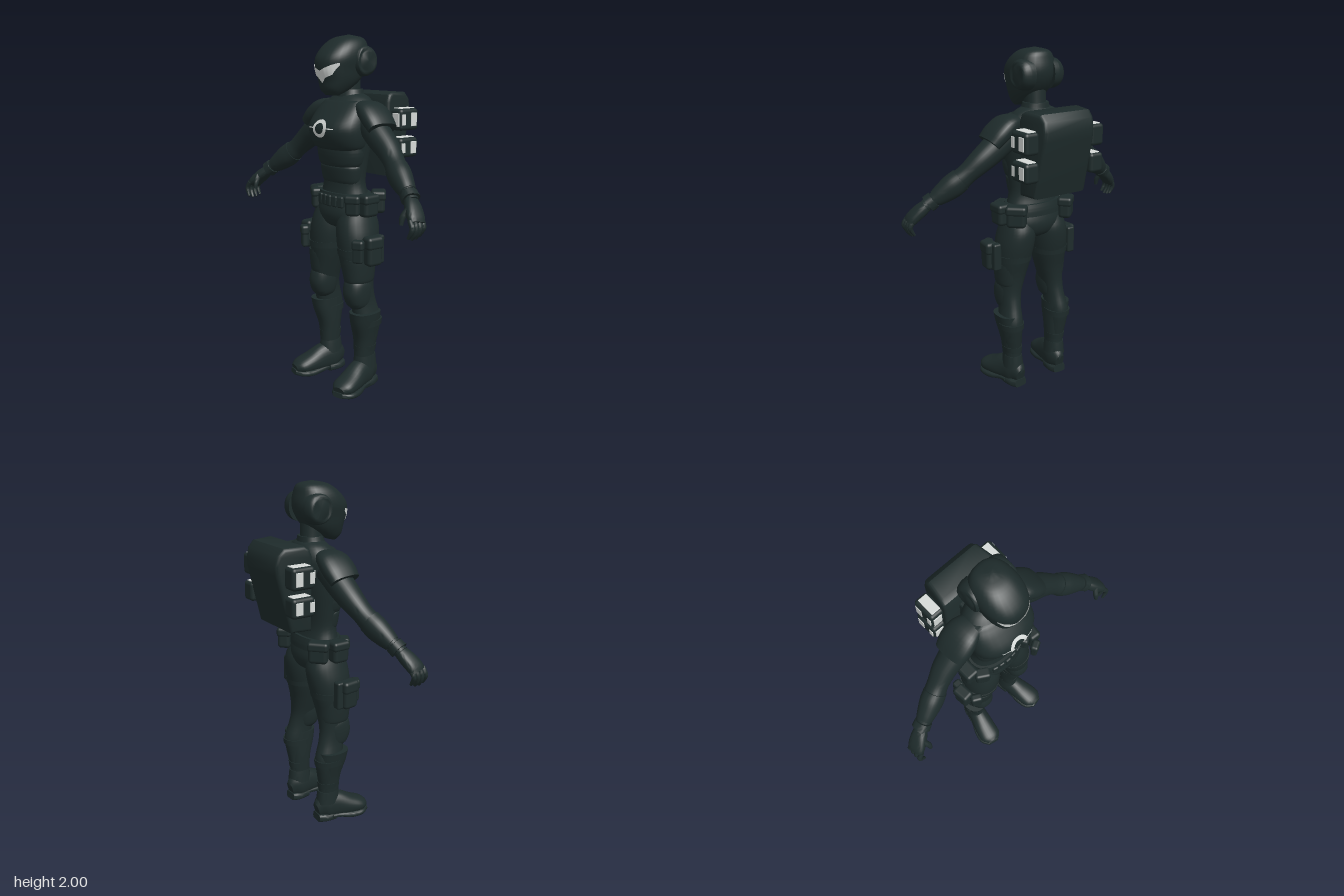
import * as THREE from 'three';
import { toCreasedNormals } from 'three/addons/utils/BufferGeometryUtils.js';
import { RoundedBoxGeometry } from 'three/addons/geometries/RoundedBoxGeometry.js';

const armour = new THREE.MeshStandardMaterial({ color: 0x1e2b2b });
armour.name = 'dark armour';
const light = new THREE.MeshStandardMaterial({ color: 0xd6dad8, side: THREE.DoubleSide });
light.name = 'pale light panel';

const V = (x, y, z) => new THREE.Vector3(x, y, z);
const UP = V(0, 1, 0), FRONT = V(0, 0, 1);

// Skin through cross-sections [x, y, z, radiusA, radiusB]; pow squares the ring off.
// With a fixed dir, the sections must be listed along it.
function loft(secs, { dir = null, ref = FRONT, pow = 2.2, seg = 28, sub = 4, s = 1 } = {}) {
  const path = new THREE.CatmullRomCurve3(secs.map(p => V(p[0] * s, p[1], p[2])), false, 'catmullrom');
  const radii = new THREE.CatmullRomCurve3(secs.map(p => V(p[3], p[4], 0)), false, 'catmullrom');
  const n = (secs.length - 1) * sub, pos = [], idx = [];
  const round = c => Math.sign(c) * Math.abs(c) ** (2 / pow);
  for (let i = 0; i <= n; i++) {
    const c = path.getPoint(i / n), r = radii.getPoint(i / n);
    const t = dir || path.getTangent(i / n);
    const u = t.clone().cross(ref).normalize(), v = u.clone().cross(t).normalize();
    for (let j = 0; j < seg; j++) {
      const a = (j / seg) * Math.PI * 2;
      const p = c.clone().addScaledVector(u, round(Math.cos(a)) * r.x).addScaledVector(v, round(Math.sin(a)) * r.y);
      pos.push(p.x, p.y, p.z);
    }
  }
  for (const t of [0, 1]) pos.push(...path.getPoint(t).toArray());
  const start = (n + 1) * seg;
  for (let j = 0; j < seg; j++) {
    const k = (j + 1) % seg;
    for (let i = 0; i < n; i++) {
      const a = i * seg + j, b = i * seg + k;
      idx.push(a, a + seg, b, b, a + seg, b + seg);
    }
    idx.push(start, j, k, start + 1, n * seg + k, n * seg + j);
  }
  const g = new THREE.BufferGeometry();
  g.setAttribute('position', new THREE.Float32BufferAttribute(pos, 3));
  g.setIndex(idx);
  return toCreasedNormals(g, 0.8);
}

// Thin patch laid on the front of a mesh; f(u, v) gives [x, y].
function conform(target, f, nu, nv, lift = 0.005) {
  const g = new THREE.PlaneGeometry(1, 1, nu, nv), p = g.attributes.position, ray = new THREE.Raycaster();
  for (let i = 0; i < p.count; i++) {
    const [x, y] = f(p.getX(i) + 0.5, p.getY(i) + 0.5);
    ray.set(V(x, y, 3), V(0, 0, -1));
    p.setXYZ(i, x, y, ray.intersectObject(target)[0].point.z + lift);
  }
  g.computeVertexNormals();
  return g;
}

export function createModel() {
  const model = new THREE.Group();
  const add = (name, geo, mat = armour, x = 0, y = 0, z = 0, ry = 0) => {
    const m = new THREE.Mesh(geo, mat);
    m.name = name;
    m.position.set(x, y, z);
    m.rotation.y = ry;
    model.add(m);
    return m;
  };
  const box = (name, x, y, z, w, h, d, ry = 0, mat = armour, r = 0.012) =>
    add(name, new RoundedBoxGeometry(w, h, d, 3, Math.min(r, w / 3, h / 3, d / 3)), mat, x, y, z, ry);
  const upright = { dir: UP };

  // Helmet, visor and neck
  const helmet = add('helmet', loft([
    [0, 1.68, .155, .05, .02], [0, 1.71, .135, .074, .075], [0, 1.76, .105, .098, .115], [0, 1.82, .092, .11, .146],
    [0, 1.88, .082, .12, .152], [0, 1.94, .062, .11, .122], [0, 1.983, .04, .075, .08], [0, 2, .035, .01, .01]], { dir: UP, pow: 2.4 }));
  const lower = a => a < .03 ? 1.745 + a : a < .07 ? 1.775 + (a - .03) * .4 : 1.791 + (a - .07) * 1.7;
  add('visor', conform(helmet, (u, v) => {
    const x = (u - .5) * .2, a = Math.abs(x), top = 1.812 + a * .42;
    return [x, lower(a) + (top - lower(a)) * v];
  }, 40, 6), light);
  add('neck', loft([[0, 1.6, .03, .075, .075], [0, 1.68, .03, .06, .062], [0, 1.8, .04, .06, .066]], upright));
  add('collar', loft([[0, 1.62, .03, .11, .09], [0, 1.67, .028, .085, .075], [0, 1.71, .025, .072, .066]], upright));

  // Torso with chest and belly armour
  add('torso', loft([
    [0, .935, .06, .05, .06], [0, .965, .064, .15, .105], [0, 1.03, .065, .185, .124], [0, 1.12, .065, .162, .102],
    [0, 1.2, .068, .143, .088], [0, 1.3, .065, .153, .095], [0, 1.42, .065, .172, .122], [0, 1.52, .065, .183, .142],
    [0, 1.6, .045, .178, .125], [0, 1.66, .025, .13, .088], [0, 1.69, .025, .07, .06]], upright));
  const chest = add('chestPlate', loft([
    [0, 1.385, .1, .15, .085], [0, 1.405, .1, .172, .113], [0, 1.46, .105, .186, .136], [0, 1.52, .105, .188, .137],
    [0, 1.6, .08, .176, .098], [0, 1.65, .06, .148, .065]], { dir: UP, pow: 2.3 }));
  add('upperBellyPlate', loft([[0, 1.29, .09, .14, .08], [0, 1.31, .09, .155, .09], [0, 1.36, .09, .166, .098], [0, 1.395, .09, .165, .098]], upright));
  add('lowerBellyPlate', loft([[0, 1.2, .085, .135, .07], [0, 1.22, .085, .142, .078], [0, 1.285, .087, .15, .085], [0, 1.3, .087, .143, .08]], upright));

  // Ring lamp with a short bar at each side
  add('chestLamp', conform(chest, (u, v) => {
    const a = u * Math.PI * 2, r = .034 + v * .022;
    return [Math.cos(a) * r, 1.505 + Math.sin(a) * r * .87];
  }, 36, 2), light);
  for (const s of [1, -1])
    add('chestLampBar', conform(chest, (u, v) => [s * (.055 + u * .047), 1.504 + v * .006], 6, 1), light);

  // Belt with small front cases
  add('belt', loft([[0, 1.075, .065, .18, .122], [0, 1.11, .065, .176, .12], [0, 1.145, .065, .168, .112]], { dir: UP, pow: 2.3 }));
  for (let i = -2; i <= 2; i++) box('beltCase', i * .042, 1.1, .178 - Math.abs(i) * .006, .038, .065, .03, i * .12);

  // Backpack, cut from its side profile and narrowed towards the back
  const side = new THREE.Shape([[-.085, 1.23], [-.205, 1.23], [-.288, 1.55], [-.292, 1.6], [-.28, 1.655], [-.245, 1.69], [-.13, 1.695], [-.1, 1.68], [-.085, 1.64]]
    .map(p => new THREE.Vector2(...p)));
  const packGeo = new THREE.ExtrudeGeometry(side, { depth: .33, bevelSize: .02, bevelOffset: -.02, bevelThickness: .025, bevelSegments: 3 });
  packGeo.translate(0, 0, -.165).rotateY(-Math.PI / 2);
  const pp = packGeo.attributes.position;
  for (let i = 0; i < pp.count; i++) pp.setX(i, pp.getX(i) * (1 + (pp.getZ(i) + .085) * .75));
  add('backpack', toCreasedNormals(packGeo, .7));
  box('backpackMount', 0, 1.5, -.075, .2, .2, .05);

  for (const s of [1, -1]) {
    const limb = (name, secs, opt = {}) => add(name, loft(secs, { s, ...opt }));

    // Ear cap, blended into the helmet
    limb('earCap', [[.07, 1.862, .012, .085, .085], [.105, 1.862, .008, .081, .08], [.125, 1.862, .005, .07, .07], [.133, 1.862, .005, .045, .045]]);

    // Backpack side lamps
    for (const [y, h] of [[1.545, .12], [1.39, .11]]) {
      box('lampHousing', s * .215, y, -.185, .09, h, .14, 0, armour, .02);
      box('lampTop', s * .212, y + h / 2, -.187, .055, .008, .108, 0, light);
      box('lampFront', s * .222, y, -.114, .052, h * .62, .008, 0, light);
      for (const [z, d, k] of [[-.138, .026, .5], [-.215, .044, .62]])
        box('lampSide', s * .26, y, z, .008, h * k, d, 0, light);
    }

    // Shoulder pad and arm
    limb('shoulderPad', [[.13, 1.615, .04, .04, .07], [.19, 1.6, .04, .05, .092], [.245, 1.557, .045, .052, .098], [.29, 1.512, .05, .045, .09]], { pow: 2.5 });
    limb('arm', [
      [.16, 1.555, .035, .075, .075], [.26, 1.475, .05, .073, .074], [.34, 1.415, .06, .065, .066], [.41, 1.355, .08, .055, .056],
      [.46, 1.31, .1, .06, .056], [.53, 1.26, .125, .05, .048], [.6, 1.21, .155, .035, .036], [.63, 1.19, .165, .032, .036]]);
    limb('forearmGuard', [[.445, 1.323, .095, .064, .059], [.49, 1.288, .112, .066, .06], [.545, 1.248, .133, .054, .051], [.575, 1.227, .144, .044, .044]]);
    limb('wristCuff', [[.585, 1.222, .149, .043, .045], [.615, 1.198, .16, .045, .047]], { pow: 2.6 });

    // Hand with curled fingers
    limb('palm', [[.61, 1.2, .16, .028, .032], [.65, 1.165, .18, .032, .045], [.69, 1.125, .202, .028, .05], [.71, 1.1, .21, .02, .046]], { pow: 2.6 });
    for (let f = 0; f < 4; f++) {
      const z = .17 + f * .026, d = Math.abs(f - 1.6) * .009;
      limb('finger', [[.697, 1.118, z, .014, .013], [.718, 1.085, z + .005, .014, .013],
        [.715, 1.05 + d, z + .008, .012, .012], [.695, 1.016 + d, z + .01, .008, .008]], { seg: 10 });
    }
    limb('thumb', [[.655, 1.165, .215, .016, .016], [.64, 1.125, .24, .016, .015], [.638, 1.085, .25, .01, .01]], { seg: 10 });

    // Leg and its armour
    limb('leg', [
      [.155, .12, .05, .05, .065], [.158, .22, .05, .046, .06], [.165, .32, .043, .054, .07], [.168, .42, .045, .062, .086],
      [.16, .52, .066, .056, .08], [.152, .6, .085, .064, .085], [.138, .7, .085, .08, .094], [.128, .8, .08, .098, .112],
      [.118, .9, .072, .105, .126], [.108, .98, .065, .098, .124], [.1, 1.05, .065, .085, .1]], upright);
    limb('thighPlate', [[.15, .65, .09, .068, .086], [.149, .67, .09, .075, .092], [.145, .75, .09, .085, .1], [.145, .785, .09, .086, .1]], upright);
    limb('thighStrap', [[.128, .805, .08, .103, .117], [.127, .84, .079, .106, .12]], upright);
    limb('kneePad', [[.156, .49, .09, .04, .05], [.155, .52, .1, .06, .07], [.153, .58, .105, .069, .084], [.152, .64, .1, .067, .08], [.15, .67, .1, .055, .062]], { dir: UP, pow: 2.4 });
    limb('shinGuard', [[.156, .2, .055, .05, .06], [.16, .3, .055, .058, .066], [.17, .4, .062, .068, .088], [.176, .468, .067, .073, .094]], { dir: UP, pow: 2.4 });
    limb('calfStrap', [[.169, .385, .048, .071, .092], [.171, .42, .048, .073, .094]], upright);
    limb('ankleStrap', [[.157, .225, .05, .052, .066], [.159, .26, .05, .056, .069]], upright);

    // Boot and sole
    limb('boot', [[.148, .075, -.025, .03, .045], [.15, .09, .03, .055, .085], [.163, .09, .1, .06, .084],
      [.183, .072, .185, .068, .06], [.197, .06, .255, .066, .042], [.204, .052, .29, .038, .025]], { ref: UP });
    limb('sole', [[.165, .03, .06, .05, .014], [.17, .028, .12, .06, .016],
      [.185, .022, .19, .075, .02], [.198, .026, .255, .072, .018], [.207, .032, .298, .035, .014]], { ref: UP, pow: 4 });
    limb('bootHeel', [[.147, .026, -.025, .04, .024], [.15, .024, .02, .056, .024], [.158, .024, .085, .055, .024]], { ref: UP, pow: 4 });
    limb('bootCuff', [[.155, .12, .05, .058, .075], [.156, .17, .05, .054, .069], [.157, .2, .05, .051, .065]], upright);

    // Lidded pouches: [x, y, z, width, height, depth, turn]
    for (const [x, y, z, w, h, d, r] of [
      [.208, 1.09, .075, .075, .125, .1, 0], [.172, 1.095, -.035, .11, .125, .075, -.75],
      [.16, 1.09, .145, .08, .115, .055, .55], [.275, .85, .1, .065, .165, .095, -.1], [.238, .85, .175, .06, .13, .04, .5]]) {
      box('pouch', s * x, y, z, w, h, d, s * r, armour, .022);
      box('pouchLid', s * x, y + h * .28, z, w + .01, h * .44, d + .01, s * r, armour, .02);
    }
    box('holster', s * .262, .85, .045, .05, .16, .05);
  }
  return model;
}
